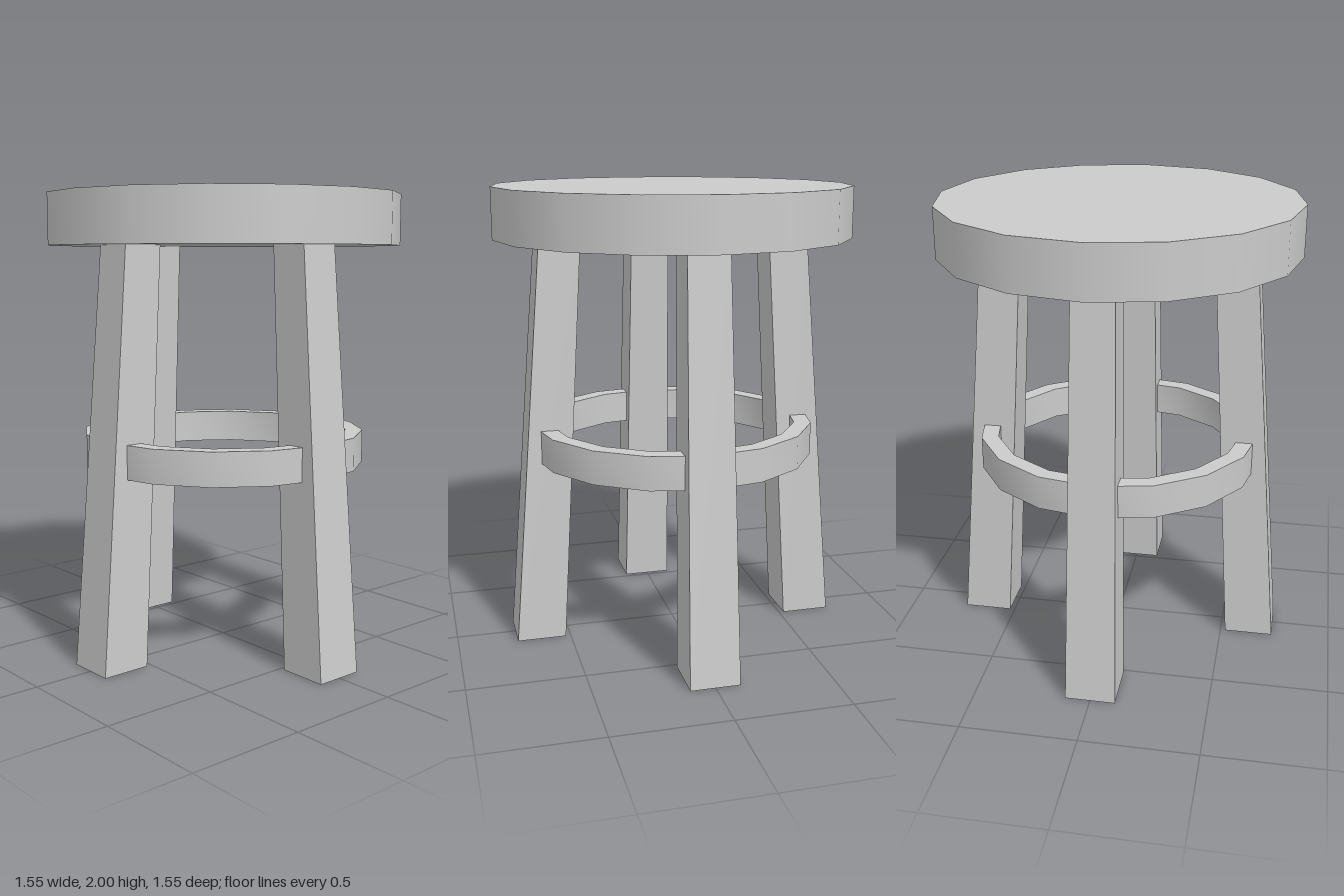
import * as THREE from 'three';
import { toCreasedNormals } from 'three/addons/utils/BufferGeometryUtils.js';

const SIDES = 16;
const SEAT_BOTTOM = 1.78;

// Square leg that tapers and leans inward towards the top
function legGeometry() {
  const geo = new THREE.BoxGeometry(1, SEAT_BOTTOM, 1);
  geo.translate(0, SEAT_BOTTOM / 2, 0);
  const pos = geo.attributes.position;
  for (let i = 0; i < pos.count; i++) {
    const t = pos.getY(i) / SEAT_BOTTOM;
    const width = THREE.MathUtils.lerp(0.216, 0.176, t);
    const offset = THREE.MathUtils.lerp(0.63, 0.505, t);
    pos.setX(i, pos.getX(i) * width);
    pos.setZ(i, pos.getZ(i) * width + offset);
  }
  const flat = geo.toNonIndexed();
  flat.computeVertexNormals();
  return flat;
}

// Band of rectangular section turned around the y axis
function bandGeometry(inner, outer, bottom, top) {
  const profile = [[outer, bottom], [outer, top], [inner, top], [inner, bottom], [outer, bottom]]
    .map(([x, y]) => new THREE.Vector2(x, y));
  return toCreasedNormals(new THREE.LatheGeometry(profile, SIDES), Math.PI / 6);
}

export function createModel() {
  const stool = new THREE.Group();
  stool.name = 'stool';
  const material = new THREE.MeshStandardMaterial({ color: 0xcccccc });

  const add = (name, geometry) => {
    const mesh = new THREE.Mesh(geometry, material);
    mesh.name = name;
    stool.add(mesh);
    return mesh;
  };

  // Round seat
  const seatHeight = 2 - SEAT_BOTTOM;
  add('seat', new THREE.CylinderGeometry(0.775, 0.775, seatHeight, SIDES))
    .position.y = SEAT_BOTTOM + seatHeight / 2;

  // Four legs, one on each axis
  const leg = legGeometry();
  ['frontLeg', 'leftLeg', 'backLeg', 'rightLeg'].forEach((name, i) => {
    add(name, leg).rotation.y = i * Math.PI / 2;
  });

  // Footrest ring passing through the legs
  add('footRing', bandGeometry(0.55, 0.625, 0.82, 0.965));

  return stool;
}
